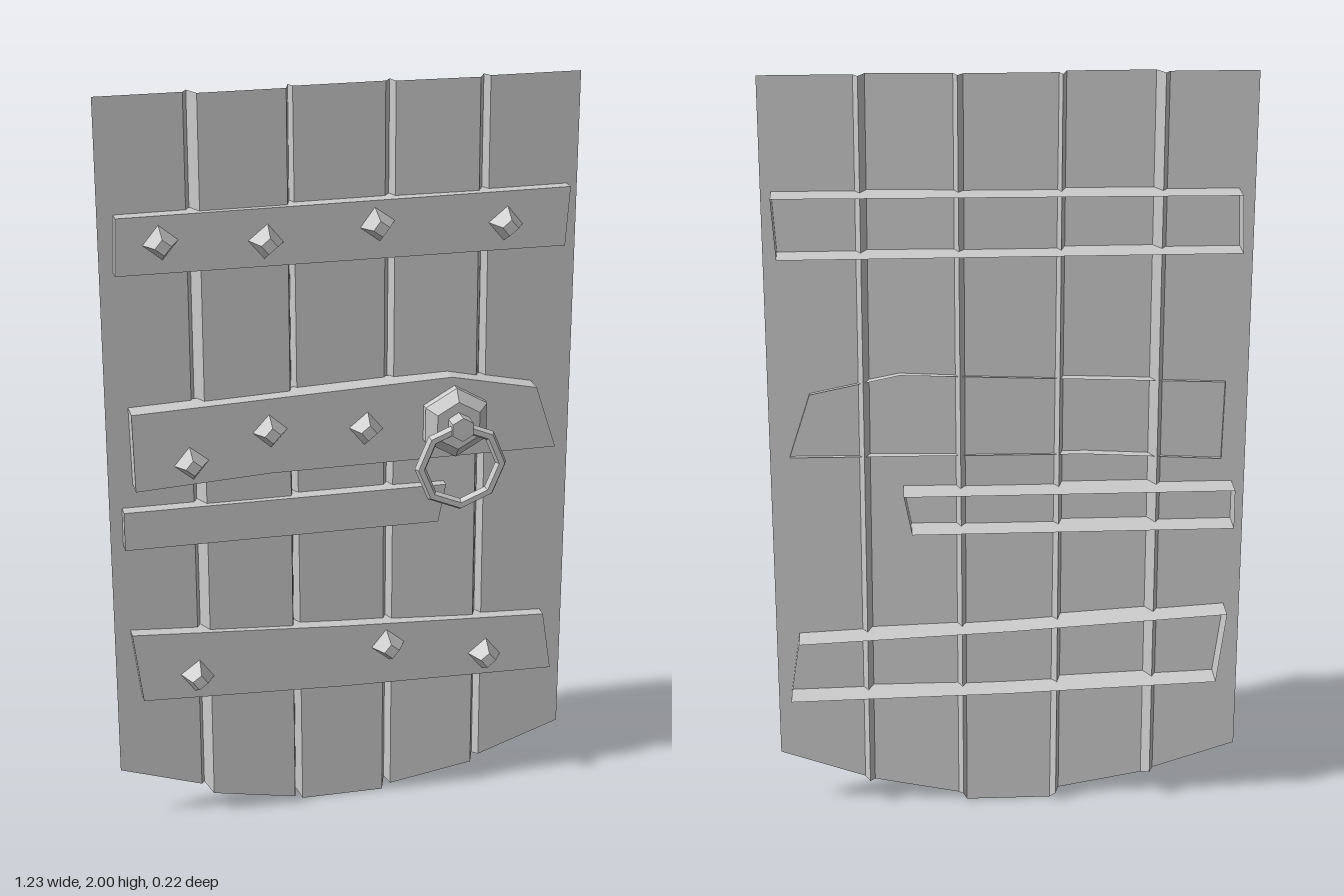
import * as THREE from 'three';

const mat = new THREE.MeshStandardMaterial({ color: 0xcccccc, flatShading: true, side: THREE.DoubleSide });

function add(parent, name, geometry, x = 0, y = 0, z = 0) {
  const mesh = new THREE.Mesh(geometry, mat);
  mesh.name = name;
  mesh.position.set(x, y, z);
  parent.add(mesh);
  return mesh;
}

// Strip of quads between two matching rows of [x, y, z] points
function strip(rowA, rowB) {
  const pos = [], idx = [];
  rowA.forEach((a, i) => {
    pos.push(...a, ...rowB[i]);
    if (i) idx.push(2 * i - 2, 2 * i - 1, 2 * i, 2 * i, 2 * i - 1, 2 * i + 1);
  });
  const g = new THREE.BufferGeometry();
  g.setAttribute('position', new THREE.Float32BufferAttribute(pos, 3));
  g.setIndex(idx);
  g.computeVertexNormals();
  return g;
}

// Crossbar: front face and side walls, open at the back
function crossbar(parent, name, outline, zFront, zBack) {
  const bar = new THREE.Group();
  bar.name = name;
  const pts = outline.map(([x, y]) => new THREE.Vector2(x, y));
  add(bar, name + 'Face', new THREE.ShapeGeometry(new THREE.Shape(pts)), 0, 0, zFront);
  const loop = [...outline, outline[0]];
  add(bar, name + 'Sides', strip(loop.map(([x, y]) => [x, y, zBack]), loop.map(([x, y]) => [x, y, zFront])));
  parent.add(bar);
}

// Tapered prism pointing forward, its base at z = 0
function boss(rBase, rTip, depth, sides) {
  return new THREE.CylinderGeometry(rTip, rBase, depth, sides).rotateX(Math.PI / 2).translate(0, 0, depth / 2);
}

export function createModel() {
  const door = new THREE.Group();
  door.name = 'plankDoor';

  // Five planks joined by V grooves: [x at top, x at bottom, bottom y, z]
  const profile = [
    [-0.617, -0.61, 0.155, -0.035], [-0.395, -0.39, 0.085, -0.035],
    [-0.383, -0.38, 0.08, -0.055],
    [-0.363, -0.36, 0.062, -0.017], [-0.142, -0.135, 0.022, -0.017],
    [-0.13, -0.125, 0.025, -0.057],
    [-0.122, -0.11, 0.003, -0.036], [0.113, 0.115, 0.003, -0.036],
    [0.128, 0.125, 0.03, -0.057],
    [0.138, 0.137, 0.022, -0.03], [0.353, 0.364, 0.065, -0.022],
    [0.37, 0.377, 0.075, -0.055],
    [0.382, 0.39, 0.08, -0.033], [0.617, 0.615, 0.16, -0.033],
  ];
  add(door, 'planks', strip(profile.map(([xt, , , z]) => [xt, 2, z]), profile.map(([, xb, y, z]) => [xb, y, z])));

  // Crossbars, outlines counter-clockwise
  crossbar(door, 'topBar', [[-0.58, 1.555], [0.58, 1.555], [0.59, 1.71], [-0.575, 1.703]], 0, -0.11);
  crossbar(door, 'middleBar', [[-0.55, 0.985], [-0.2, 1.005], [0.565, 1.01], [0.51, 1.18],
    [0.28, 1.228], [-0.05, 1.215], [-0.555, 1.195]], 0.022, -0.045);
  crossbar(door, 'shortBar', [[-0.58, 0.815], [0.255, 0.815], [0.275, 0.92], [-0.58, 0.92]], 0, -0.11);
  crossbar(door, 'bottomBar', [[-0.545, 0.375], [0.0, 0.355], [0.58, 0.345], [0.555, 0.51],
    [0.0, 0.535], [-0.57, 0.57]], 0, -0.11);

  // Studs: [x, y, z of the bar face, turn]
  const studs = [
    [-0.465, 1.635, 0, 0.1], [-0.2, 1.62, 0, -0.1], [0.085, 1.645, 0, 0.15], [0.42, 1.625, 0, -0.1],
    [-0.405, 1.052, 0.022, 0.1], [-0.2, 1.122, 0.022, 0.05], [0.052, 1.107, 0.022, -0.1],
    [-0.4, 0.435, 0, -0.15], [0.12, 0.467, 0, 0.1], [0.39, 0.41, 0, -0.1],
  ];
  for (const [x, y, z, turn] of studs) {
    add(door, 'stud', boss(0.045, 0.021, z ? 0.038 : 0.046, 4), x, y, z).rotation.z = turn;
  }

  // Ring handle: hexagonal plate, knob and eight-sided ring
  const handle = new THREE.Group();
  handle.name = 'ringHandle';
  handle.position.set(0.287, 1.11, 0);
  add(handle, 'plateBase', boss(0.095, 0.095, 0.022, 6), 0, 0, 0.022);
  add(handle, 'plateBevel', boss(0.095, 0.065, 0.024, 6), 0, 0, 0.044);
  add(handle, 'knob', boss(0.032, 0.032, 0.045, 6), 0, 0.005, 0.066);
  add(handle, 'ring', new THREE.TorusGeometry(0.108, 0.015, 6, 8), 0, -0.1, 0.092);
  door.add(handle);

  return door;
}
